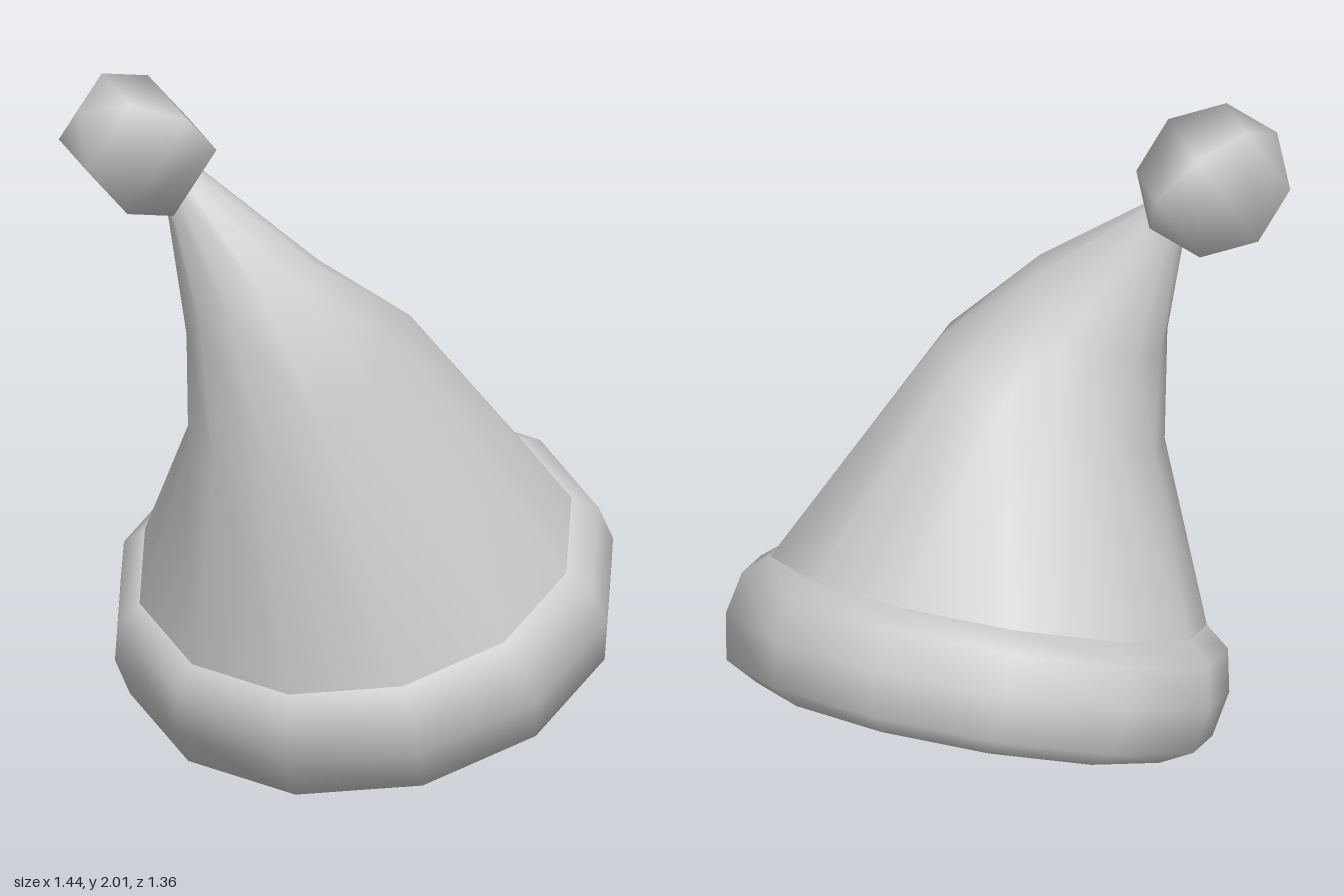
import * as THREE from 'three';

const SIDES = 12;
const v = (x, y, z) => new THREE.Vector3(x, y, z);

// Smooth skin over rings given as centre, sideways radius, forward radius
function loft(rings) {
  const pos = [], idx = [];
  rings.forEach(([c, u, w], r) => {
    for (let i = 0; i < SIDES; i++) {
      const a = (i / SIDES) * Math.PI * 2;
      pos.push(...c.clone().addScaledVector(u, Math.cos(a)).addScaledVector(w, Math.sin(a)).toArray());
      if (r === 0) continue;
      const j = (i + 1) % SIDES, lo = (r - 1) * SIDES, hi = r * SIDES;
      idx.push(lo + i, hi + i, hi + j, lo + i, hi + j, lo + j);
    }
  });
  const g = new THREE.BufferGeometry();
  g.setAttribute('position', new THREE.Float32BufferAttribute(pos, 3));
  g.setIndex(idx);
  g.computeVertexNormals();
  return g;
}

export function createModel() {
  const group = new THREE.Group();
  const mat = new THREE.MeshStandardMaterial({ color: 0xcccccc });
  const add = (name, geometry, parent = group) => {
    const m = new THREE.Mesh(geometry, mat);
    m.name = name;
    parent.add(m);
    return m;
  };

  // Tilted brim roll, closed underneath
  const brim = new THREE.Group();
  brim.name = 'brim';
  brim.position.set(0, 0.24, -0.065);
  brim.rotation.x = 0.415;
  group.add(brim);
  const profile = [[0.595, 0], [0.69, 0.05], [0.715, 0.18], [0.69, 0.3], [0.62, 0.357], [0.56, 0.357]];
  add('brimRoll', new THREE.LatheGeometry(profile.map(([x, y]) => new THREE.Vector2(x, y)), SIDES), brim);
  add('brimUnderside', new THREE.CircleGeometry(0.595, SIDES).rotateX(Math.PI / 2), brim);

  // Cone bending over to the right and front
  add('hatCone', loft([
    [v(0, 0.567, 0.079), v(0.62, 0, 0), v(0, -0.25, 0.567)],
    [v(-0.085, 1.12, 0.31), v(0.315, 0.13, 0), v(0, -0.125, 0.31)],
    [v(-0.195, 1.38, 0.39), v(0.185, 0.11, 0), v(0, 0, 0.195)],
    [v(-0.39, 1.69, 0.41), v(0.05, 0.05, 0), v(0, 0, 0.055)],
    [v(-0.41, 1.73, 0.415), v(0, 0, 0), v(0, 0, 0)],
  ]));

  // Coarse bobble whose poles point along the bend
  const axis = v(-0.6, 0.53, 0.6).normalize();
  const side = v(0.17, 0.118, 0.085).projectOnPlane(axis).normalize();
  const bobble = add('bobble', new THREE.SphereGeometry(0.222, 4, 4));
  bobble.quaternion.setFromRotationMatrix(
    new THREE.Matrix4().makeBasis(side, axis, side.clone().cross(axis)));
  bobble.position.set(-0.505, 1.815, 0.47);

  return group;
}
